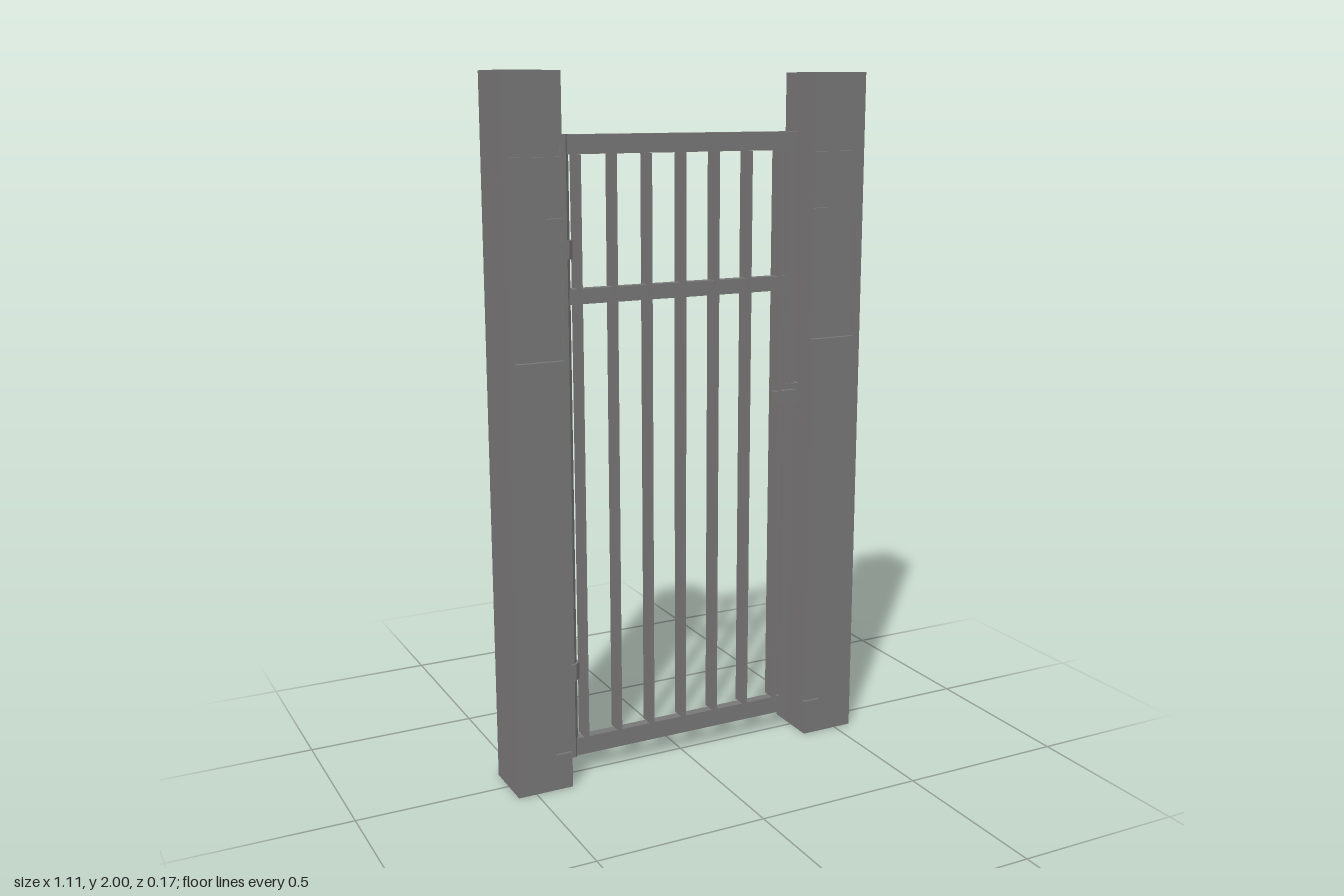
import * as THREE from 'three';

const stone = new THREE.MeshStandardMaterial({ color: 0x787676 });
stone.name = 'grey';

function add(parent, name, geometry, x = 0, y = 0, z = 0) {
  const mesh = new THREE.Mesh(geometry, stone);
  mesh.name = name;
  mesh.position.set(x, y, z);
  parent.add(mesh);
  return mesh;
}

// Box given by its limits on each axis
function box(parent, name, x0, x1, y0, y1, z0, z1) {
  return add(parent, name, new THREE.BoxGeometry(x1 - x0, y1 - y0, z1 - z0),
    (x0 + x1) / 2, (y0 + y1) / 2, (z0 + z1) / 2);
}

// Post with its inner edge at local x = 0 and its body towards -x.
// Each band is [bottom, top, recess width from the inner edge].
function makePost(name) {
  const post = new THREE.Group();
  post.name = name;
  const w = 0.165, d = 0.083, recess = 0.015;
  const bands = [
    [0, 0.106, 0], [0.106, 0.11, 0.05], [0.11, 1.24, 0], [1.24, 1.585, 0.145],
    [1.585, 1.62, 0], [1.62, 1.625, 0.05], [1.625, 1.78, 0],
    [1.78, 1.805, 0.145], [1.805, 2, 0],
  ];
  for (const [y0, y1, cut] of bands) {
    const s = new THREE.Shape();
    s.moveTo(-w, -d);
    if (cut) {
      s.lineTo(-cut, -d);
      s.lineTo(-cut, -d + recess);
      s.lineTo(0, -d + recess);
      s.lineTo(0, d - recess);
      s.lineTo(-cut, d - recess);
      s.lineTo(-cut, d);
    } else {
      s.lineTo(0, -d);
      s.lineTo(0, d);
    }
    s.lineTo(-w, d);
    s.closePath();
    const g = new THREE.ExtrudeGeometry(s, { depth: y1 - y0, bevelEnabled: false });
    g.rotateX(-Math.PI / 2);
    add(post, cut ? 'recessedBand' : 'postBlock', g, 0, y0, 0);
  }
  return post;
}

// Upright eight-sided tube with flat sides
function octagon(radius, height) {
  const g = new THREE.CylinderGeometry(radius, radius, height, 8);
  g.rotateY(Math.PI / 8);
  const flat = g.toNonIndexed();
  flat.computeVertexNormals();
  return flat;
}

export function createModel() {
  const model = new THREE.Group();
  model.name = 'gate';

  // Gate posts
  const rightPost = makePost('rightPost');
  rightPost.position.x = -0.389;
  const leftPost = makePost('leftPost');
  leftPost.position.x = 0.389;
  leftPost.rotation.y = Math.PI;
  model.add(rightPost, leftPost);

  // Frame of the gate leaf
  const leaf = new THREE.Group();
  leaf.name = 'gateLeaf';
  model.add(leaf);
  const t = 0.014;
  box(leaf, 'topRail', -0.355, 0.372, 1.783, 1.835, -t, t);
  box(leaf, 'bottomRail', -0.355, 0.372, 0.057, 0.11, -t, t);
  box(leaf, 'middleRail', -0.345, 0.342, 1.38, 1.422, -t, t);
  box(leaf, 'latchStile', 0.34, 0.372, 0.11, 1.783, -t, t);
  add(leaf, 'hingeStile', octagon(0.0215, 1.78), -0.36, 0.946, 0);

  // Flat upright bars
  for (let i = -3; i <= 3; i++) {
    const x = i * 0.1055;
    box(leaf, 'bar', x - 0.0045, x + 0.0045, 0.11, 1.783, -0.028, 0.028);
  }

  // Hinges: collar round the stile, with a bracket on the post below it
  for (const y of [0.255, 1.465]) {
    const hinge = new THREE.Group();
    hinge.name = 'hinge';
    hinge.position.y = y;
    add(hinge, 'collar', octagon(0.029, 0.05), -0.36, 0.065, 0);
    box(hinge, 'bracket', -0.392, -0.372, 0, 0.035, -0.012, 0.012);
    box(hinge, 'collarArm', -0.392, -0.375, 0.045, 0.085, -0.01, 0.01);
    model.add(hinge);
  }

  // Latch bolt and its keeper on the post
  box(model, 'latchBolt', 0.297, 0.372, 1.047, 1.083, 0.012, 0.028);
  box(model, 'latchKeeper', 0.345, 0.391, 1.04, 1.1, -0.016, 0.016);

  return model;
}
